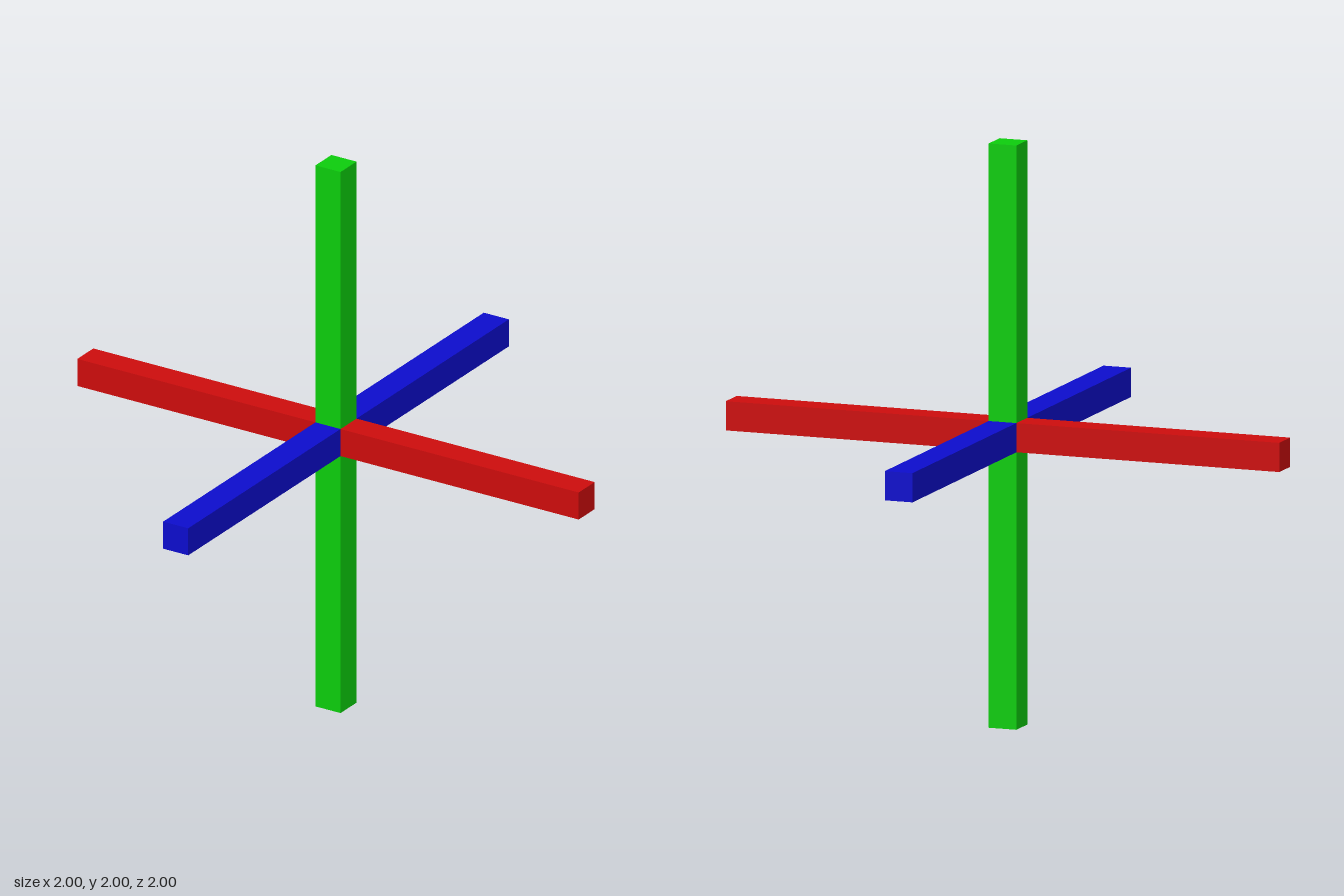
import * as THREE from 'three';

const LENGTH = 2;
const WIDTH = 0.1;

// One square bar, centred where the three bars cross
function bar(name, size, color) {
  const mesh = new THREE.Mesh(
    new THREE.BoxGeometry(...size),
    new THREE.MeshStandardMaterial({ color })
  );
  mesh.name = name;
  mesh.position.y = LENGTH / 2;
  return mesh;
}

export function createModel() {
  const group = new THREE.Group();
  group.name = 'axisCross';
  group.add(
    bar('sidewaysBar', [LENGTH, WIDTH, WIDTH], 0xcc0c0c),
    bar('uprightBar', [WIDTH, LENGTH, WIDTH], 0x0ccc0c),
    bar('frontToBackBar', [WIDTH, WIDTH, LENGTH], 0x0c0ccc)
  );
  return group;
}
